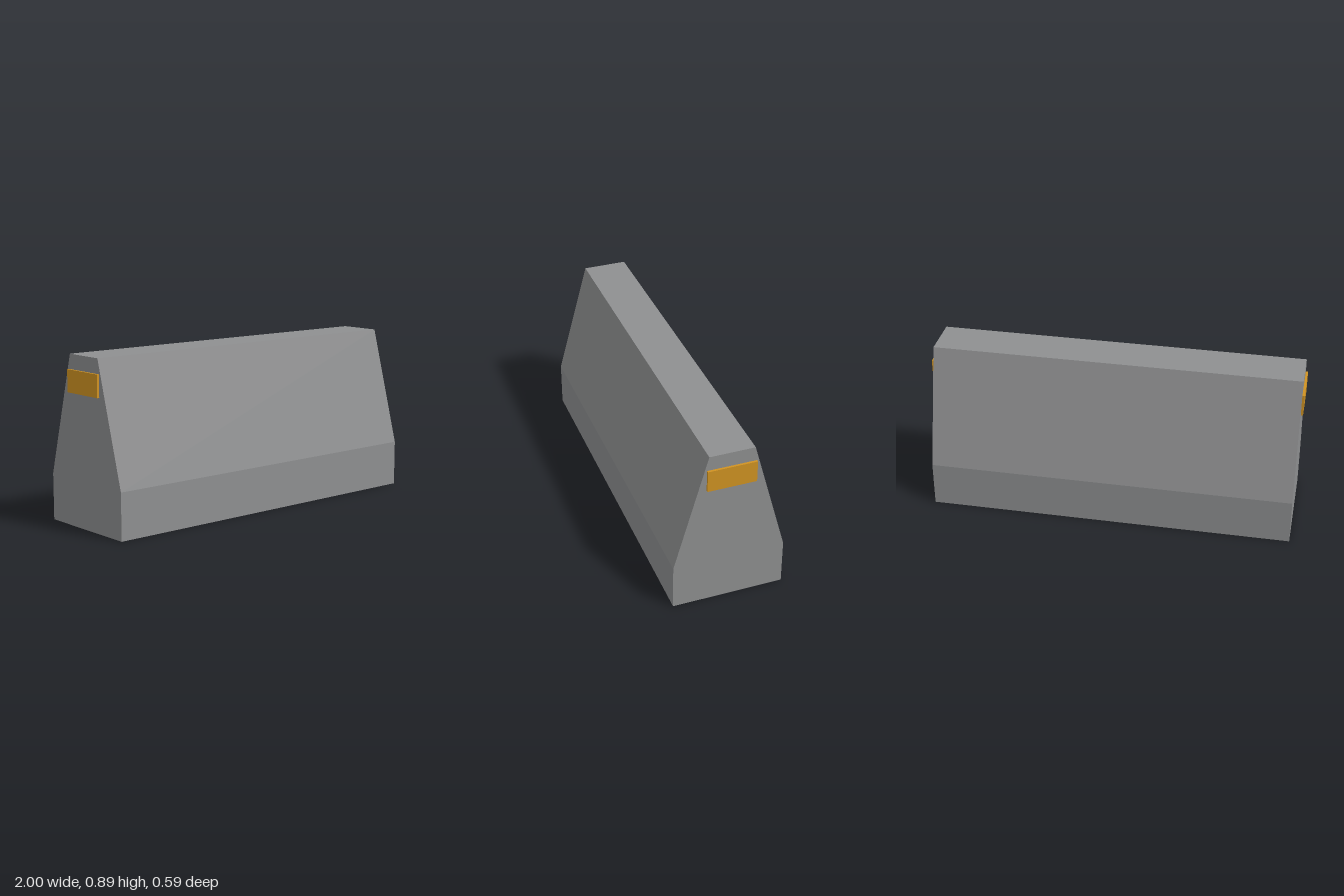
import * as THREE from 'three';

export function createModel() {
  const group = new THREE.Group();
  const concrete = new THREE.MeshStandardMaterial({ name: 'concrete grey', color: 0x8e8f90 });
  const amber = new THREE.MeshStandardMaterial({ name: 'reflector amber', color: 0xd09322 });

  // Barrier body: upright foot with sloping sides, extruded along x
  const halfLength = 0.988;
  const profile = new THREE.Shape([
    [-0.297, 0], [0.297, 0], [0.297, 0.248],
    [0.119, 0.891], [-0.119, 0.891], [-0.297, 0.248],
  ].map(([z, y]) => new THREE.Vector2(z, y)));
  const bodyGeometry = new THREE.ExtrudeGeometry(profile, { depth: halfLength * 2, bevelEnabled: false });
  bodyGeometry.translate(0, 0, -halfLength).rotateY(Math.PI / 2);
  const body = new THREE.Mesh(bodyGeometry, concrete);
  body.name = 'barrierBody';
  group.add(body);

  // Reflector plate on each end, slightly sunk into the body
  const plateGeometry = new THREE.BoxGeometry(0.016, 0.118, 0.258);
  for (const [side, name] of [[1, 'leftReflector'], [-1, 'rightReflector']]) {
    const plate = new THREE.Mesh(plateGeometry, amber);
    plate.name = name;
    plate.position.set(side * 0.992, 0.754, 0);
    group.add(plate);
  }

  return group;
}
